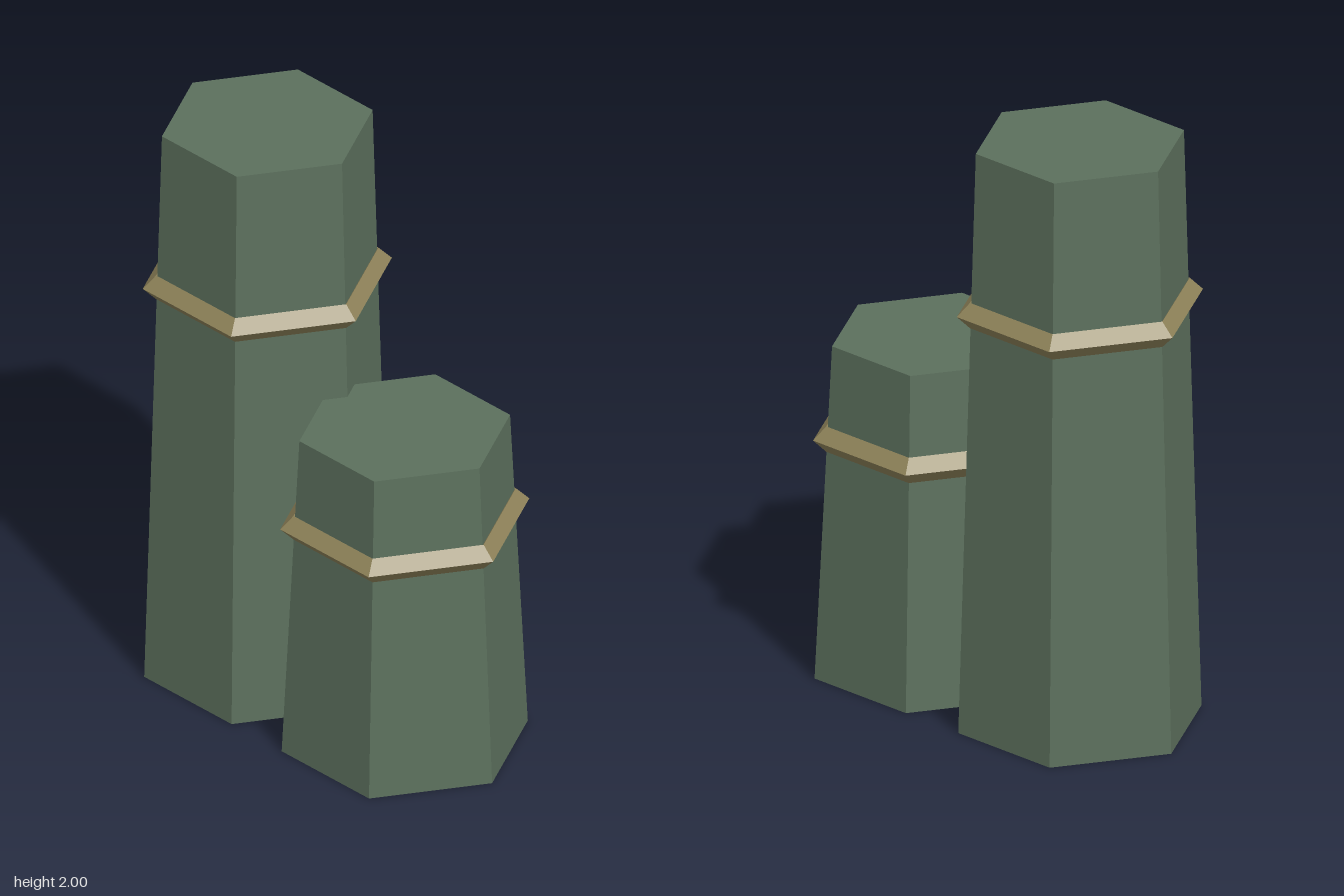
import * as THREE from 'three';

export function createModel() {
  const model = new THREE.Group();
  const green = new THREE.MeshStandardMaterial({ name: 'mossGreen', color: 0x5c705d, flatShading: true });
  const bronze = new THREE.MeshStandardMaterial({ name: 'dullBronze', color: 0x8e8259, flatShading: true });

  // Tapered hexagonal column with a diamond-section band at 72% of its height
  function addPillar(name, x, height) {
    const pillar = new THREE.Group();
    pillar.name = name;
    pillar.position.x = x;

    const column = new THREE.Mesh(new THREE.CylinderGeometry(0.345, 0.403, height, 6), green);
    column.name = 'column';
    column.rotation.y = Math.PI / 6; // corners point along x
    column.position.y = height / 2;

    const band = new THREE.Mesh(new THREE.TorusGeometry(0.364, 0.044, 4, 6), bronze);
    band.name = 'band';
    band.rotation.x = Math.PI / 2;
    band.position.y = height * 0.721;

    pillar.add(column, band);
    model.add(pillar);
  }

  addPillar('tallPillar', -0.317, 2);
  addPillar('shortPillar', 0.317, 1.144);
  return model;
}
